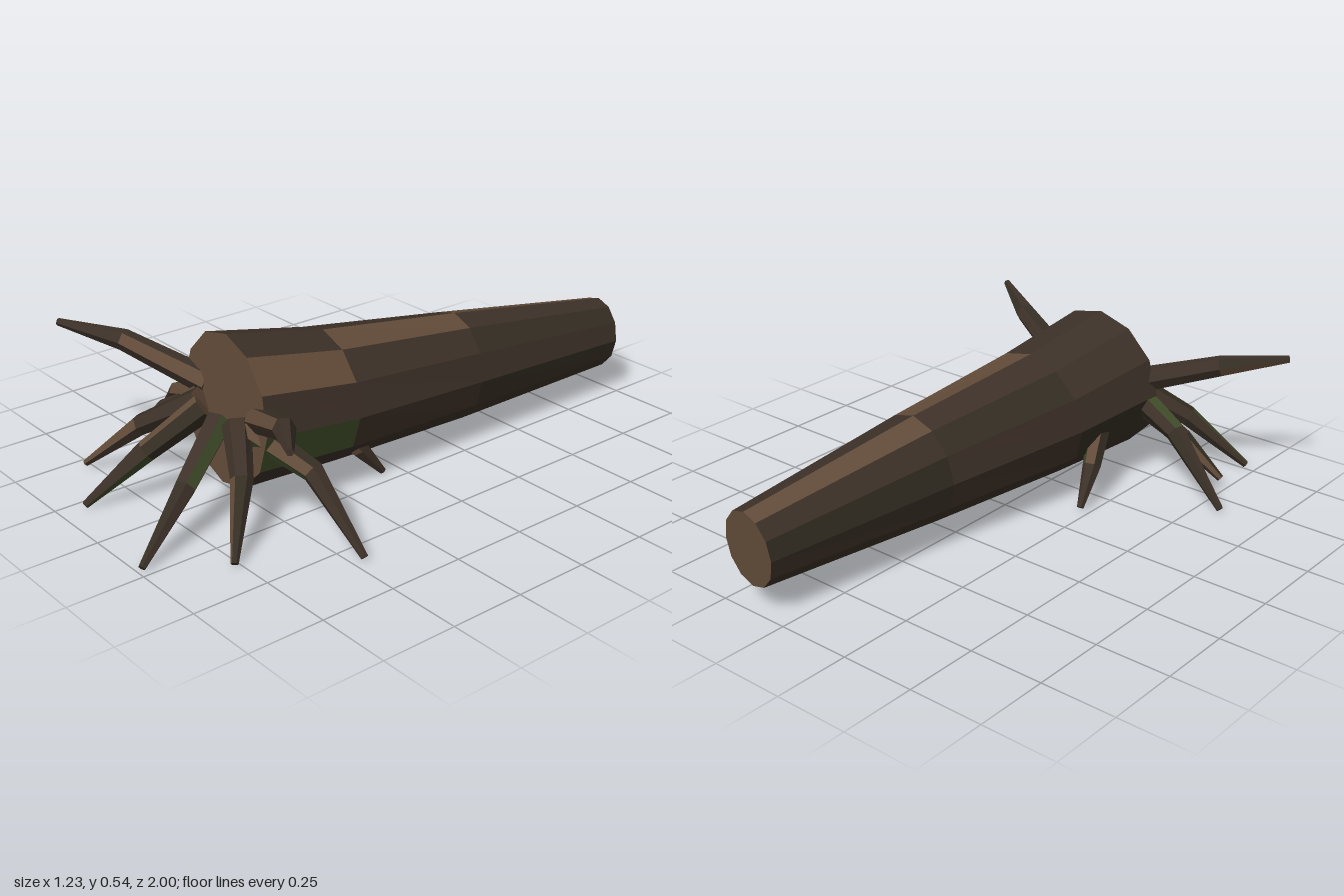
import * as THREE from 'three';

const mat = (name, color) => {
  const m = new THREE.MeshStandardMaterial({ color, flatShading: true });
  m.name = name;
  return m;
};

// Skin a list of rings (each turning counter-clockwise about the travel direction).
// tone(segment, side) gives a material index; caps gives the start and end indices.
function loft(name, rings, materials, tone, caps) {
  const buckets = materials.map(() => []);
  const tri = (k, ...pts) => pts.forEach(p => buckets[k].push(p.x, p.y, p.z));
  const n = rings[0].length;
  for (let i = 0; i < rings.length - 1; i++) {
    for (let j = 0; j < n; j++) {
      const k = (j + 1) % n, m = tone(i, j);
      tri(m, rings[i][j], rings[i][k], rings[i + 1][k]);
      tri(m, rings[i][j], rings[i + 1][k], rings[i + 1][j]);
    }
  }
  const first = rings[0], last = rings[rings.length - 1];
  for (let j = 1; j < n - 1; j++) {
    tri(caps[0], first[0], first[j + 1], first[j]);
    tri(caps[1], last[0], last[j], last[j + 1]);
  }
  const geo = new THREE.BufferGeometry();
  geo.setAttribute('position', new THREE.Float32BufferAttribute(buckets.flat(), 3));
  let start = 0;
  buckets.forEach((b, i) => {
    if (b.length) geo.addGroup(start, b.length / 3, i);
    start += b.length / 3;
  });
  geo.computeVertexNormals();
  const mesh = new THREE.Mesh(geo, materials);
  mesh.name = name;
  return mesh;
}

export function createModel() {
  const group = new THREE.Group();
  group.name = 'fallenTree';
  const materials = [
    mat('bark', 0x3d3128), mat('cutWood', 0x624b39),
    mat('moss', 0x3f4b28), mat('shadedBark', 0x352e23),
  ];
  const [BARK, WOOD, MOSS, DARK] = [0, 1, 2, 3];

  // Trunk sections from the thin back end to the wide front: x, y, z, half width, half height
  const sections = [
    [0.14, 0.205, -0.99, 0.11, 0.125],
    [0.087, 0.238, -0.33, 0.172, 0.183],
    [0.038, 0.268, 0.19, 0.228, 0.213],
    [0.005, 0.302, 0.535, 0.25, 0.243],
  ];
  const trunkRings = sections.map(([x, y, z, w, h]) =>
    Array.from({ length: 12 }, (_, j) => {
      const a = j * Math.PI / 6, dx = w * Math.cos(a), dy = h * Math.sin(a);
      return new THREE.Vector3(x + dx, y + dy, z + 0.1 * dx - 0.065 * dy);
    }));
  // Bark patches keyed by segment and side
  const patches = { '0,3': WOOD, '1,2': WOOD, '2,1': WOOD, '2,11': MOSS,
    '0,11': DARK, '1,4': DARK, '0,1': DARK, '2,6': DARK, '0,5': DARK, '1,8': DARK };
  group.add(loft('trunk', trunkRings, materials,
    (i, j) => patches[`${i},${j}`] ?? BARK, [WOOD, WOOD]));

  // Roots: base, knee, tip, base radius
  const roots = [
    ['upperRootRight', [-0.14, 0.33, 0.49], [-0.42, 0.42, 0.62], [-0.61, 0.455, 0.745], 0.045],
    ['upperRootLeft', [0.16, 0.32, 0.52], [0.42, 0.415, 0.62], [0.61, 0.455, 0.745], 0.045],
    ['sideRootRight', [-0.14, 0.3, 0.51], [-0.36, 0.215, 0.46], [-0.577, 0.014, 0.415], 0.045],
    ['sideRootLeft', [0.14, 0.29, 0.54], [0.37, 0.215, 0.48], [0.58, 0.014, 0.46], 0.045],
    ['thinRootRight', [-0.16, 0.28, 0.49], [-0.36, 0.175, 0.51], [-0.49, 0.05, 0.55], 0.04],
    ['frontSideRootRight', [-0.1, 0.3, 0.55], [-0.28, 0.185, 0.66], [-0.46, 0.014, 0.765], 0.045],
    ['frontSideRootLeft', [0.11, 0.3, 0.565], [0.235, 0.19, 0.64], [0.37, 0.014, 0.77], 0.045],
    ['frontRootRight', [-0.05, 0.3, 0.575], [-0.135, 0.17, 0.735], [-0.212, 0.014, 0.915], 0.045],
    ['frontRootLeft', [0.04, 0.29, 0.58], [0.13, 0.165, 0.77], [0.218, 0.014, 0.985], 0.045],
    ['underRootRight', [-0.15, 0.25, 0.32], [-0.195, 0.13, 0.215], [-0.215, 0.014, 0.13], 0.04],
    ['underRootLeft', [0.13, 0.22, 0.23], [0.175, 0.11, 0.14], [0.2, 0.014, 0.065], 0.04],
    ['underSpike', [0.12, 0.18, 0.26], [0.13, 0.11, 0.295], [0.14, 0.05, 0.325], 0.03],
  ];
  const up = new THREE.Vector3(0, 1, 0);
  roots.forEach(([name, base, knee, tip, radius], r) => {
    const pts = [base, knee, tip].map(p => new THREE.Vector3(...p));
    const radii = [radius, radius * 0.78, 0.012];
    const rings = pts.map((p, i) => {
      const dir = pts[Math.min(i + 1, 2)].clone().sub(pts[Math.max(i - 1, 0)]).normalize();
      const side = up.clone().cross(dir).normalize();
      const over = dir.clone().cross(side);
      return Array.from({ length: 6 }, (_, j) => {
        const a = j * Math.PI / 3;
        return p.clone().addScaledVector(side, radii[i] * Math.cos(a))
          .addScaledVector(over, radii[i] * Math.sin(a));
      });
    });
    // Scattered pale and mossy facets
    const tone = (i, j) => {
      const k = (r * 7 + i * 5 + j * 3) % 13;
      return k < 2 ? WOOD : k === 4 ? MOSS : k > 9 ? DARK : BARK;
    };
    group.add(loft(name, rings, materials, tone, [WOOD, BARK]));
  });
  return group;
}
